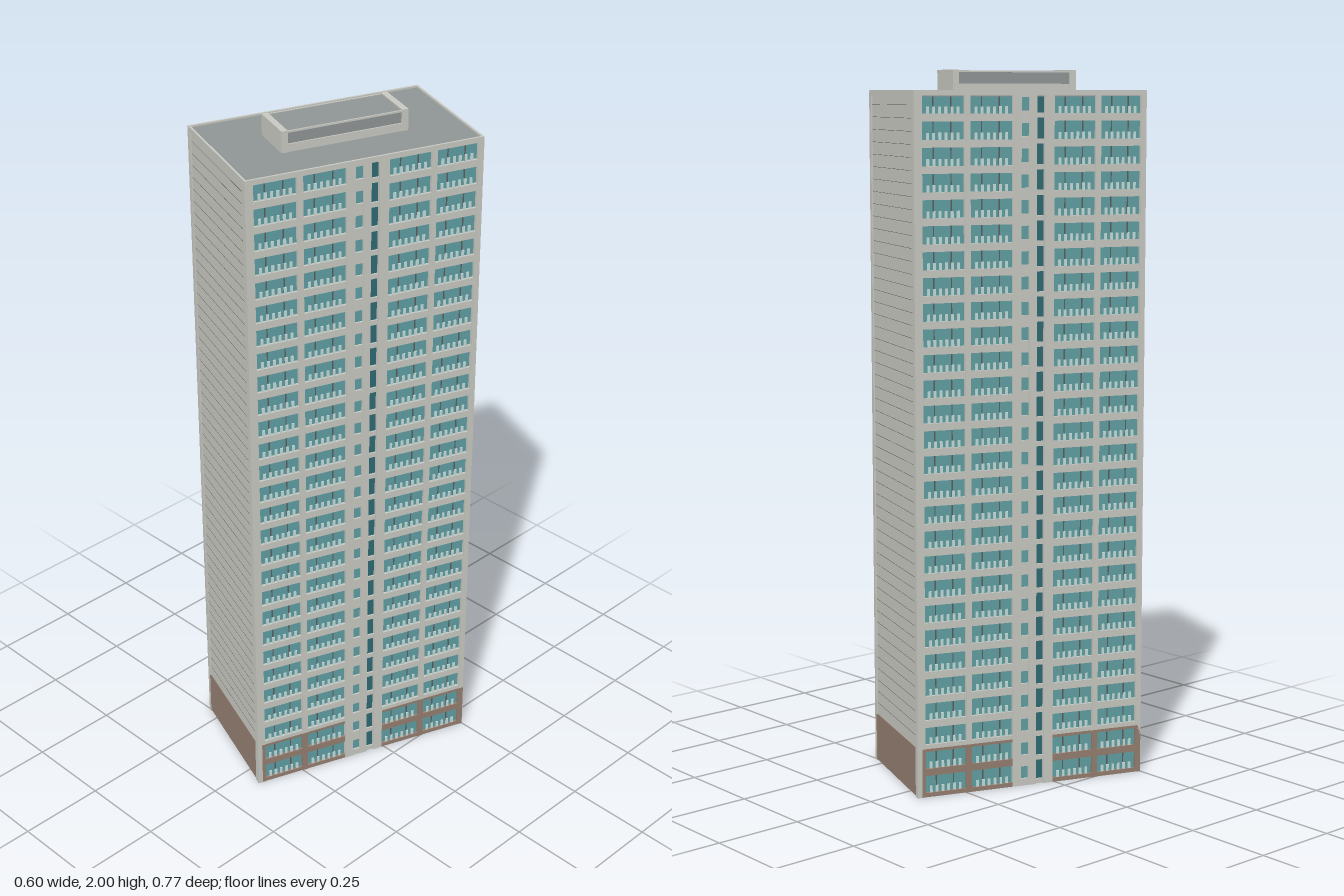
import * as THREE from 'three';
import { mergeGeometries } from 'three/addons/utils/BufferGeometryUtils.js';

const material = (name, color) => {
  const m = new THREE.MeshStandardMaterial({ color });
  m.name = name;
  return m;
};

// Box given by its minimum and maximum corners
function block(x0, x1, y0, y1, z0, z1) {
  const g = new THREE.BoxGeometry(x1 - x0, y1 - y0, z1 - z0);
  g.translate((x0 + x1) / 2, (y0 + y1) / 2, (z0 + z1) / 2);
  return g;
}

export function createModel() {
  const wall = material('pale concrete', 0xc8c8c2);
  const brown = material('brown base', 0x947e70);
  const roofGrey = material('roof grey', 0x8f9494);
  const glass = material('teal glass', 0x5f9ea2);
  const darkGlass = material('dark teal glass', 0x2f6a72);
  const rail = material('pale railing', 0xc4dcda);
  const joint = material('joint grey', 0x5c5e5e);

  const W = 0.195, L = 0.338, H = 1.945;
  const floors = 28, storey = 1.94 / floors, base = storey * 2;
  const bays = [[0.195, 0.315], [0.056, 0.178], [-0.187, -0.065], [-0.322, -0.203]];

  const building = new THREE.Group();
  building.name = 'towerBlock';
  building.rotation.y = -0.354;

  const add = (parent, name, geometries, mat) => {
    const mesh = new THREE.Mesh(mergeGeometries(geometries), mat);
    mesh.name = name;
    parent.add(mesh);
  };

  // Core, roof deck and parapet
  add(building, 'core', [block(-0.182, 0.182, 0, 1.93, -0.33, 0.33)], wall);
  add(building, 'roofDeck', [block(-0.19, 0.19, 1.928, 1.94, -0.333, 0.333)], roofGrey);
  add(building, 'parapet', [-1, 1].flatMap(s => [
    block(s * 0.192 - 0.003, s * 0.192 + 0.003, 1.93, H, -L, L),
    block(-0.19, 0.19, 1.93, H, s * 0.335 - 0.003, s * 0.335 + 0.003),
  ]), wall);

  // Rooftop plant room: end slabs, framed sides, grey panels
  const plant = new THREE.Group();
  plant.name = 'plantRoom';
  building.add(plant);
  add(plant, 'plantEnds', [-1, 1].map(s =>
    block(-0.065, 0.065, 1.935, 2, s * 0.172 - 0.009, s * 0.172 + 0.009)), wall);
  add(plant, 'plantFrame', [-1, 1].flatMap(s => [
    block(s * 0.062 - 0.002, s * 0.062 + 0.002, 1.935, 1.962, -0.164, 0.164),
    block(s * 0.062 - 0.002, s * 0.062 + 0.002, 1.993, 1.998, -0.164, 0.164),
  ]), wall);
  add(plant, 'plantBody', [block(-0.059, 0.059, 1.935, 1.997, -0.164, 0.164)], roofGrey);

  // One half of the tower: a window front and an end wall, repeated by a half turn
  for (let side = 0; side < 2; side++) {
    const half = new THREE.Group();
    half.name = side ? 'rightHalf' : 'leftHalf';
    half.rotation.y = side * Math.PI;
    building.add(half);

    const panes = [], posts = [], bands = [], baseBands = [], piers = [], basePiers = [];
    const stairPanes = [], mullions = [];

    // Vertical piers between the bays, brown over the lowest two storeys
    for (const [a, b] of [[0.315, L], [0.178, 0.195], [-0.203, -0.187], [-L, -0.322]]) {
      piers.push(block(0.18, W, base, 1.94, a, b));
      basePiers.push(block(0.18, W, 0, base, a, b));
    }
    // Central stair bay piers
    for (const [a, b] of [[0.031, 0.056], [-0.014, 0.008], [-0.065, -0.037]]) {
      piers.push(block(0.18, W, 0, 1.94, a, b));
    }

    for (let f = 0; f < floors; f++) {
      const y = f * storey, top = y + storey;
      const sill = y + 0.012, head = y + 0.061, railTop = sill + 0.019;
      for (const [a, b] of bays) {
        const target = f < 2 ? baseBands : bands;
        target.push(block(0.18, W - 0.001, y, sill, a, b));
        target.push(block(0.18, W - 0.001, head, top, a, b));
        panes.push(block(0.18, 0.186, sill, head, a, b));
        // Railing posts and window mullions
        const step = (b - a) / 7;
        for (let i = 1; i < 7; i++) {
          const z = a + i * step;
          posts.push(block(0.189, 0.192, sill, railTop, z - 0.0038, z + 0.0038));
        }
        for (const t of [0.3, 0.72]) {
          const z = a + (b - a) * t;
          mullions.push(block(0.184, 0.188, sill, head, z - 0.0016, z + 0.0016));
        }
      }
      // Small stair windows
      bands.push(block(0.18, W - 0.001, y, y + 0.02, 0.008, 0.031));
      bands.push(block(0.18, W - 0.001, y + 0.056, top, 0.008, 0.031));
      panes.push(block(0.18, 0.188, y + 0.02, y + 0.056, 0.008, 0.031));
      bands.push(block(0.18, 0.19, y, y + 0.014, -0.037, -0.014));
      stairPanes.push(block(0.18, 0.185, y + 0.014, top, -0.037, -0.014));
    }
    add(half, 'windowPanes', panes, glass);
    add(half, 'stairPanes', stairPanes, darkGlass);
    add(half, 'balconyPosts', posts, rail);
    add(half, 'windowMullions', mullions, joint);
    add(half, 'floorBands', bands, wall);
    add(half, 'baseBands', baseBands, brown);
    add(half, 'piers', piers, wall);
    add(half, 'basePiers', basePiers, brown);

    // End wall with corner fins, brown foot and fine panel joints
    add(half, 'endWall', [block(-0.18, 0.18, 0, 1.935, 0.329, 0.334)], wall);
    add(half, 'cornerFins', [
      block(-W, -0.183, 0, 1.94, 0.325, L + 0.0005),
      block(0.176, W + 0.0005, 0, 1.94, 0.325, L + 0.0005),
    ], wall);
    add(half, 'endBase', [block(-0.182, 0.175, 0, base, 0.33, 0.336)], brown);
    const joints = [];
    for (let y = base + storey / 2; y < 1.92; y += storey / 2) {
      joints.push(block(-0.182, 0.175, y - 0.0005, y + 0.0005, 0.333, 0.3345));
    }
    add(half, 'panelJoints', joints, joint);
  }

  const model = new THREE.Group();
  model.name = 'apartmentTower';
  model.add(building);
  return model;
}
